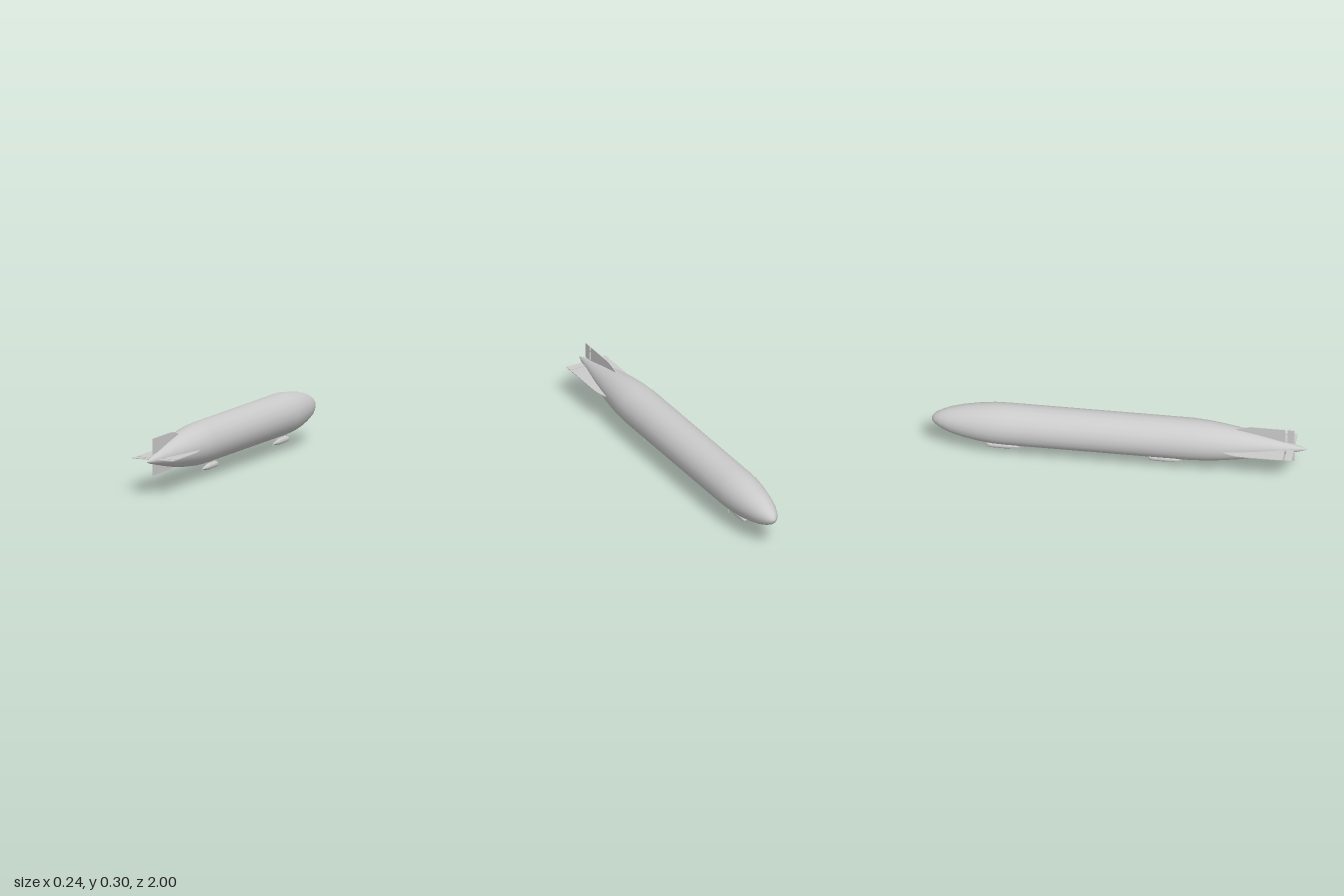
import * as THREE from 'three';

const grey = new THREE.MeshStandardMaterial({ color: 0xcccccc, side: THREE.DoubleSide });
const AXIS_Y = 0.187;

function add(parent, name, geometry, x = 0, y = 0, z = 0) {
  const mesh = new THREE.Mesh(geometry, grey);
  mesh.name = name;
  mesh.position.set(x, y, z);
  parent.add(mesh);
  return mesh;
}

// Solid of revolution along z from [z, radius] pairs; the tail sags by droop past z = from
function spindle(profile, sides, from, to, droop) {
  const points = profile.map(([z, r]) => new THREE.Vector2(r, z));
  const geometry = new THREE.LatheGeometry(points, sides).rotateX(Math.PI / 2);
  const p = geometry.attributes.position;
  for (let i = 0; i < p.count; i++) {
    const t = Math.max(0, (p.getZ(i) - from) / (to - from));
    p.setY(i, p.getY(i) - droop * t);
  }
  return geometry;
}

// Thin plate drawn as (z, span), lying in the plane x = 0
function plate(shape, thickness) {
  return new THREE.ExtrudeGeometry(shape, { depth: thickness, bevelEnabled: false, curveSegments: 8 })
    .translate(0, 0, -thickness / 2)
    .rotateY(-Math.PI / 2);
}

// Tail fin with curved leading edge and a separate hinged control surface
function makeFin(name, angle, start, startSpan, full, span) {
  const fin = new THREE.Group();
  fin.name = name;
  const s = new THREE.Shape();
  s.moveTo(start, startSpan - 0.03);
  s.lineTo(start, startSpan);
  s.quadraticCurveTo(start + (full - start) * 0.5, span, full, span);
  s.lineTo(0.88, span);
  s.lineTo(0.88, 0.01);
  add(fin, 'fixedFin', plate(s, 0.004));

  const c = new THREE.Shape();
  c.moveTo(0.89, 0.028);
  c.lineTo(0.928, 0.028);
  c.lineTo(0.928, span);
  c.lineTo(0.89, span);
  add(fin, 'controlSurface', plate(c, 0.004));
  add(fin, 'hinge', new THREE.BoxGeometry(0.002, 0.004, 0.012), 0, span * 0.75, 0.885);

  fin.rotation.z = angle;
  fin.position.y = 0.184;
  return fin;
}

// Engine car hung below the hull, propeller at its pointed rear
function makeEngineCar(name, z) {
  const car = new THREE.Group();
  car.name = name;
  const body = [[-0.09, 0], [-0.088, 0.009], [-0.078, 0.015], [-0.06, 0.0175],
    [0.01, 0.0175], [0.04, 0.013], [0.085, 0.002], [0.085, 0]];
  add(car, 'engineBody', spindle(body, 8, 0, 0.085, 0.006), 0, 0.044, 0);
  add(car, 'frontStrut', new THREE.CylinderGeometry(0.004, 0.004, 0.035, 8), 0, 0.068, -0.063);
  add(car, 'rearStrut', new THREE.CylinderGeometry(0.0018, 0.0018, 0.045, 6), 0, 0.062, 0.05);
  add(car, 'propellerHub', new THREE.CylinderGeometry(0.002, 0.003, 0.008, 8).rotateX(Math.PI / 2), 0, 0.038, 0.086);
  add(car, 'propeller', new THREE.BoxGeometry(0.004, 0.076, 0.0025), 0, 0.038, 0.088);
  car.position.z = z;
  return car;
}

export function createModel() {
  const model = new THREE.Group();
  model.name = 'airship';

  // Hull: blunt nose at -z, long parallel middle, pointed tail at +z
  const hull = [[-1, 0], [-0.996, 0.014], [-0.98, 0.031], [-0.95, 0.049], [-0.9, 0.069],
    [-0.83, 0.087], [-0.75, 0.101], [-0.67, 0.11], [-0.6, 0.112], [0.38, 0.112], [0.47, 0.107],
    [0.55, 0.098], [0.63, 0.086], [0.72, 0.069], [0.81, 0.049], [0.9, 0.028], [0.96, 0.013], [1, 0]];
  add(model, 'hull', spindle(hull, 20, 0.4, 1, 0.007), 0, AXIS_Y, 0);

  // Cross-shaped tail
  model.add(makeFin('upperFin', 0, 0.61, 0.085, 0.72, 0.112));
  model.add(makeFin('lowerFin', Math.PI, 0.65, 0.072, 0.74, 0.086));
  model.add(makeFin('leftFin', -Math.PI / 2, 0.55, 0.094, 0.66, 0.119));
  model.add(makeFin('rightFin', Math.PI / 2, 0.55, 0.094, 0.66, 0.119));

  // Two engine cars on the centreline
  model.add(makeEngineCar('rearEngineCar', 0.238));
  model.add(makeEngineCar('forwardEngineCar', -0.622));
  return model;
}
